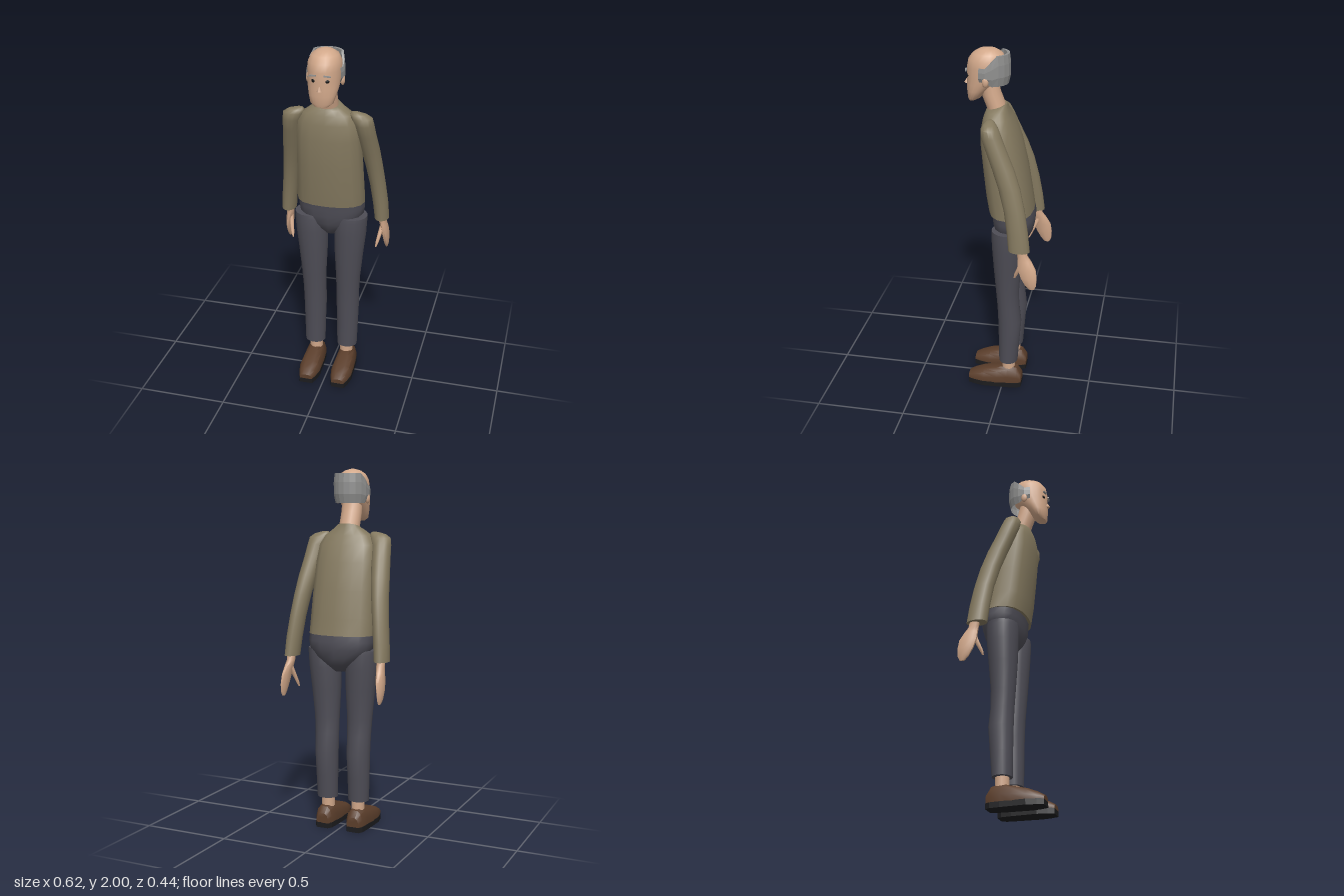
import * as THREE from 'three';
import { toCreasedNormals } from 'three/addons/utils/BufferGeometryUtils.js';

const mat = (name, color, extra = {}) => {
  const m = new THREE.MeshStandardMaterial({ color, ...extra });
  m.name = name;
  return m;
};

// Closed skin over a list of equal-length point loops, smooth with creased edges.
// Loops turn from +x to +z and are listed upwards.
function skinLoops(loops, crease = 0.9) {
  const n = loops[0].length, pos = [];
  const tri = (...pts) => pts.forEach(p => pos.push(...p));
  const centre = loop => [0, 1, 2].map(k => loop.reduce((s, p) => s + p[k], 0) / n);
  const last = loops.length - 1, lo = centre(loops[0]), hi = centre(loops[last]);
  for (let i = 0; i < n; i++) {
    const k = (i + 1) % n;
    for (let j = 0; j < last; j++) {
      const a = loops[j][i], b = loops[j][k], c = loops[j + 1][i], d = loops[j + 1][k];
      tri(a, c, b);
      tri(b, c, d);
    }
    tri(lo, loops[0][i], loops[0][k]);
    tri(hi, loops[last][k], loops[last][i]);
  }
  const g = new THREE.BufferGeometry();
  g.setAttribute('position', new THREE.Float32BufferAttribute(pos, 3));
  return toCreasedNormals(g, crease);
}

// Rings: [y, centre x, centre z, radius x, radius z, rise towards the back]
function loft(rings, { seg = 16, side = 1, power = 1 } = {}) {
  const soft = v => Math.sign(v) * Math.abs(v) ** power;
  return skinLoops(rings.map(([y, cx, cz, rx, rz, tilt = 0]) =>
    Array.from({ length: seg }, (_, i) => {
      const a = (i / seg) * Math.PI * 2, s = soft(Math.sin(a));
      return [cx * side + rx * soft(Math.cos(a)), y - tilt * s, cz + rz * s];
    })));
}

// Fringe of hair: open shell round the back of the head, with a turned-in rim
function hairGeometry() {
  const cols = 12, pos = [], grid = [];
  for (let i = 0; i <= cols; i++) {
    const t = (i / cols) * 2 - 1, u = Math.abs(t);      // -1 and 1 are the temples
    const a = -Math.PI / 2 + t * 1.98;
    const low = u > 0.7 ? 1.835 : 1.815;
    const high = u > 0.72 ? 1.91 : u > 0.55 ? 1.945 : 1.975;
    const col = [[0, 0.9], [0.3, 1], [0.7, 1], [1, 0.95], [1, 0.82]].map(([f, k]) => [
      0.099 * k * Math.cos(a), low + (high - low) * f, 0.085 + 0.111 * k * Math.sin(a)]);
    grid.push(col);
  }
  for (let i = 0; i < cols; i++) for (let j = 0; j < 4; j++) {
    const a = grid[i][j], b = grid[i + 1][j], c = grid[i][j + 1], d = grid[i + 1][j + 1];
    pos.push(...a, ...c, ...b, ...b, ...c, ...d);
  }
  const g = new THREE.BufferGeometry();
  g.setAttribute('position', new THREE.Float32BufferAttribute(pos, 3));
  g.computeVertexNormals();
  return g;
}

// Shoe upper: arched cross-sections [z, half width, height, centre x] from heel to toe
function shoeGeometry(side) {
  const arch = [[-1, 0], [-1, 0.4], [-0.8, 0.8], [-0.4, 1], [0.4, 1], [0.8, 0.8], [1, 0.4], [1, 0]];
  return skinLoops([
    [-0.11, 0.035, 0.055, 0.094], [-0.085, 0.048, 0.09, 0.094], [-0.03, 0.054, 0.102, 0.094],
    [0.03, 0.058, 0.085, 0.095], [0.11, 0.06, 0.066, 0.095], [0.165, 0.049, 0.045, 0.095],
    [0.2, 0.036, 0.026, 0.095],
  ].map(([z, w, h, cx]) => arch.map(([u, v]) => [cx * side - u * w, 0.028 + v * h, z])).map(l => l.reverse()), 0.7);
}

function soleGeometry(side) {
  const half = [[0.035, -0.11], [0.05, -0.085], [0.055, -0.03], [0.061, 0.11], [0.05, 0.165], [0.037, 0.2]];
  const outline = [...half, ...half.map(([x, z]) => [-x, z]).reverse()];
  const shape = new THREE.Shape(outline.map(([x, z]) => new THREE.Vector2(x + 0.095 * side, -z)));
  return new THREE.ExtrudeGeometry(shape, { depth: 0.03, bevelEnabled: false }).rotateX(-Math.PI / 2);
}

export function createModel() {
  const root = new THREE.Group();
  root.name = 'standingMan';
  const skin = mat('skin', 0xd2a88a);
  const sweater = mat('sweater', 0x857a60);
  const trousers = mat('trousers', 0x4e4d56);
  const leather = mat('shoeLeather', 0x5b3e2b);
  const rubber = mat('soleRubber', 0x1c1c1e);
  const grey = mat('greyHair', 0x8f8f8e, { flatShading: true, side: THREE.DoubleSide });
  const black = mat('eyeBlack', 0x141414);
  const add = (name, geometry, material, x = 0, y = 0, z = 0) => {
    const m = new THREE.Mesh(geometry, material);
    m.name = name;
    m.position.set(x, y, z);
    root.add(m);
    return m;
  };

  // Body
  add('torso', loft([
    [1.105, 0, -0.037, 0.19, 0.121], [1.2, 0, -0.022, 0.187, 0.122], [1.35, 0, -0.002, 0.182, 0.118],
    [1.5, 0, 0.022, 0.176, 0.108], [1.59, 0, 0.035, 0.165, 0.09], [1.64, 0, 0.042, 0.135, 0.074],
    [1.672, 0, 0.045, 0.09, 0.06, 0.005], [1.69, 0, 0.047, 0.062, 0.055, 0.015],
  ], { power: 0.85 }), sweater);
  add('pelvis', loft([
    [0.9, 0, -0.045, 0.035, 0.045], [0.94, 0, -0.048, 0.08, 0.085], [0.98, 0, -0.05, 0.14, 0.102],
    [1.03, 0, -0.05, 0.18, 0.113], [1.07, 0, -0.05, 0.187, 0.115], [1.13, 0, -0.04, 0.183, 0.112],
  ], { power: 0.85 }), trousers);

  // Head
  add('neck', loft([
    [1.64, 0, 0.04, 0.058, 0.05], [1.7, 0, 0.055, 0.058, 0.05, 0.01],
    [1.76, 0, 0.078, 0.058, 0.05, 0.01], [1.84, 0, 0.095, 0.058, 0.05],
  ]), skin);
  add('head', loft([
    [1.718, 0, 0.178, 0.035, 0.018], [1.735, 0, 0.165, 0.06, 0.036], [1.775, 0, 0.148, 0.072, 0.057],
    [1.81, 0, 0.128, 0.081, 0.077], [1.85, 0, 0.108, 0.086, 0.097], [1.9, 0, 0.1, 0.089, 0.105],
    [1.94, 0, 0.098, 0.086, 0.099], [1.972, 0, 0.095, 0.07, 0.078], [1.991, 0, 0.095, 0.043, 0.047],
    [2, 0, 0.095, 0.012, 0.013],
  ], { seg: 20 }), skin);
  add('hairFringe', hairGeometry(), grey);
  const nose = add('nose', new THREE.ConeGeometry(0.015, 0.035, 4), skin, 0, 1.822, 0.205);
  nose.rotation.x = -0.15;

  for (const s of [1, -1]) {
    const label = s > 0 ? 'left' : 'right';
    const part = (name, geometry, material, ...p) => add(label + name, geometry, material, ...p);
    const sided = (rings, seg = 14) => loft(rings, { seg, side: s });

    // Face
    part('Ear', new THREE.SphereGeometry(1, 10, 8).scale(0.013, 0.028, 0.018), skin, s * 0.09, 1.84, 0.092);
    const eye = part('Eye', new THREE.SphereGeometry(1, 10, 8).scale(0.011, 0.009, 0.004), black, s * 0.037, 1.857, 0.195);
    eye.rotation.y = s * 0.4;
    const brow = part('Brow', new THREE.BoxGeometry(0.036, 0.006, 0.009), grey, s * 0.038, 1.886, 0.203);
    brow.rotation.set(0, s * 0.15, s * -0.08);

    // Arm and hand
    part('Sleeve', sided([
      [0.98, 0.27, -0.12, 0.04, 0.058], [1.08, 0.262, -0.109, 0.042, 0.057], [1.2, 0.248, -0.09, 0.043, 0.056],
      [1.32, 0.232, -0.06, 0.046, 0.058], [1.42, 0.218, -0.025, 0.05, 0.058], [1.52, 0.204, 0.016, 0.051, 0.055],
      [1.59, 0.195, 0.043, 0.053, 0.053], [1.628, 0.184, 0.053, 0.058, 0.045], [1.648, 0.168, 0.057, 0.046, 0.03],
      [1.66, 0.15, 0.058, 0.018, 0.014],
    ]), sweater);
    part('Hand', sided([
      [0.762, 0.288, -0.192, 0.006, 0.014], [0.785, 0.289, -0.187, 0.012, 0.031], [0.83, 0.287, -0.176, 0.017, 0.045],
      [0.88, 0.282, -0.164, 0.02, 0.05], [0.925, 0.275, -0.15, 0.021, 0.038], [0.955, 0.27, -0.138, 0.022, 0.028],
      [1.0, 0.27, -0.13, 0.024, 0.028],
    ], 10), skin);
    part('Thumb', sided([
      [0.8, 0.244, -0.092, 0.004, 0.005], [0.825, 0.249, -0.1, 0.009, 0.01], [0.87, 0.259, -0.12, 0.012, 0.013],
      [0.93, 0.27, -0.145, 0.012, 0.016],
    ], 8), skin);

    // Leg and foot
    part('TrouserLeg', sided([
      [0.168, 0.096, -0.032, 0.059, 0.054], [0.3, 0.097, -0.036, 0.062, 0.06], [0.44, 0.097, -0.04, 0.066, 0.067],
      [0.54, 0.098, -0.032, 0.067, 0.063], [0.64, 0.1, -0.027, 0.071, 0.066], [0.8, 0.104, -0.027, 0.083, 0.078],
      [0.92, 0.11, -0.028, 0.091, 0.086], [1.0, 0.114, -0.028, 0.092, 0.088], [1.023, 0.118, -0.028, 0.088, 0.085],
    ], 16), trousers);
    part('Ankle', new THREE.CylinderGeometry(0.038, 0.037, 0.14, 14), skin, s * 0.092, 0.165, -0.033);
    part('Shoe', shoeGeometry(s), leather);
    part('Sole', soleGeometry(s), rubber);
  }
  return root;
}
